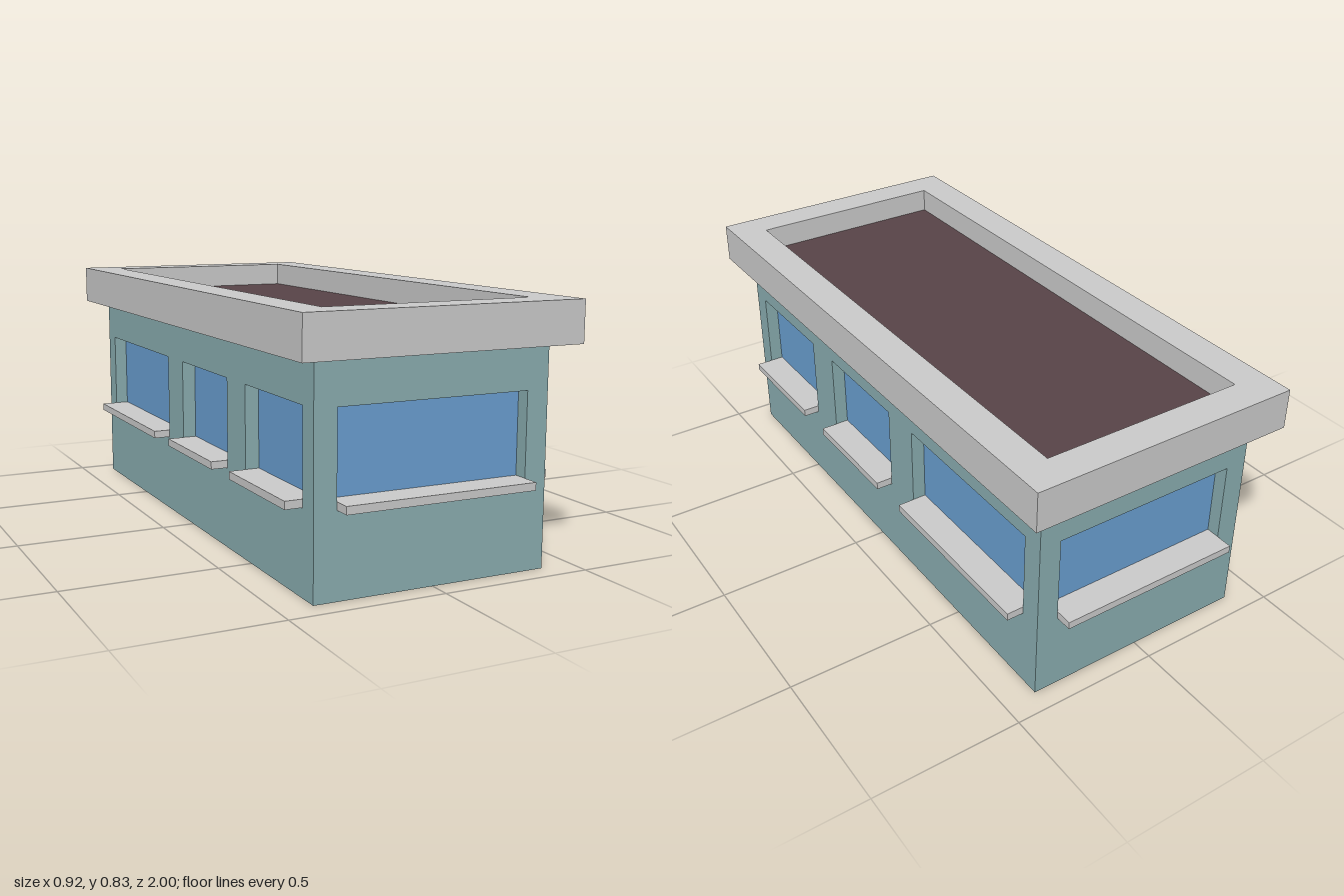
import * as THREE from 'three';

const grey = new THREE.MeshStandardMaterial({ color: 0xcccccc });
const teal = new THREE.MeshStandardMaterial({ color: 0x8aadb0 });
const blue = new THREE.MeshStandardMaterial({ color: 0x6a9fd1 });
const maroon = new THREE.MeshStandardMaterial({ color: 0x584448 });

const HALF_X = 0.39, HALF_Z = 0.928, WALL_TOP = 0.695, ROOF_TOP = 0.828;
const RECESS = 0.045, SILL_OUT = 0.056;
const SILL_BOTTOM = 0.265, SILL_TOP = 0.29, WINDOW_TOP = 0.556;

function rectangle(Type, x0, y0, x1, y1) {
  return new Type([[x0, y0], [x1, y0], [x1, y1], [x0, y1]].map(([x, y]) => new THREE.Vector2(x, y)));
}

function addMesh(parent, name, geometry, material, x = 0, y = 0, z = 0) {
  const mesh = new THREE.Mesh(geometry, material);
  mesh.name = name;
  mesh.position.set(x, y, z);
  parent.add(mesh);
  return mesh;
}

// A wall in its own frame: outer surface at z = 0, looking along +z.
// Each window is a [start, end] pair along the wall.
function makeWall(name, halfWidth, windows, sillMaterial = grey) {
  const wall = new THREE.Group();
  wall.name = name;
  const shape = rectangle(THREE.Shape, -halfWidth, 0, halfWidth, WALL_TOP);
  for (const [a, b] of windows) shape.holes.push(rectangle(THREE.Path, a, SILL_BOTTOM, b, WINDOW_TOP));
  const panel = new THREE.ExtrudeGeometry(shape, { depth: RECESS, bevelEnabled: false });
  addMesh(wall, 'wallPanel', panel, teal, 0, 0, -RECESS);

  for (const [a, b] of windows) {
    const mid = (a + b) / 2, width = b - a;
    const glass = new THREE.BoxGeometry(width, WINDOW_TOP - SILL_BOTTOM, 0.01);
    addMesh(wall, 'windowPane', glass, blue, mid, (WINDOW_TOP + SILL_BOTTOM) / 2, -RECESS - 0.005);
    const sill = new THREE.BoxGeometry(width, SILL_TOP - SILL_BOTTOM, RECESS + SILL_OUT);
    addMesh(wall, 'windowSill', sill, sillMaterial, mid, (SILL_TOP + SILL_BOTTOM) / 2, (SILL_OUT - RECESS) / 2);
  }
  return wall;
}

export function createModel() {
  const model = new THREE.Group();
  model.name = 'building';

  // End walls; one end of the front sill is painted like the wall
  const endWindow = [[-0.317, 0.317]];
  const front = makeWall('frontWall', HALF_X, endWindow, [teal, grey, grey, grey, grey, grey]);
  front.position.z = HALF_Z;
  const back = makeWall('backWall', HALF_X, endWindow);
  back.position.z = -HALF_Z;
  back.rotation.y = Math.PI;
  model.add(front, back);

  // Long walls, fitted between the end walls; windows given along z
  const sideWindows = [[0.46, 0.86], [-0.083, 0.315], [-0.855, -0.228]];
  for (const side of [1, -1]) {
    const local = sideWindows.map(([a, b]) => (side > 0 ? [-b, -a] : [a, b]));
    const wall = makeWall(side > 0 ? 'leftWall' : 'rightWall', HALF_Z - RECESS, local);
    wall.position.x = side * HALF_X;
    wall.rotation.y = side * Math.PI / 2;
    model.add(wall);
  }

  // Underside of the building
  const base = new THREE.BoxGeometry(2 * (HALF_X - RECESS), 0.02, 2 * (HALF_Z - RECESS));
  addMesh(model, 'baseSlab', base, teal, 0, 0.01, 0);

  // Overhanging roof rim with a sunken deck
  const rim = rectangle(THREE.Shape, -0.46, -1, 0.46, 1);
  rim.holes.push(rectangle(THREE.Path, -0.346, -0.887, 0.346, 0.887));
  const rimGeometry = new THREE.ExtrudeGeometry(rim, { depth: ROOF_TOP - WALL_TOP, bevelEnabled: false });
  rimGeometry.rotateX(-Math.PI / 2);
  addMesh(model, 'roofRim', rimGeometry, grey, 0, WALL_TOP, 0);
  addMesh(model, 'roofDeck', new THREE.BoxGeometry(0.692, 0.05, 1.774), maroon, 0, WALL_TOP + 0.025, 0);

  return model;
}
